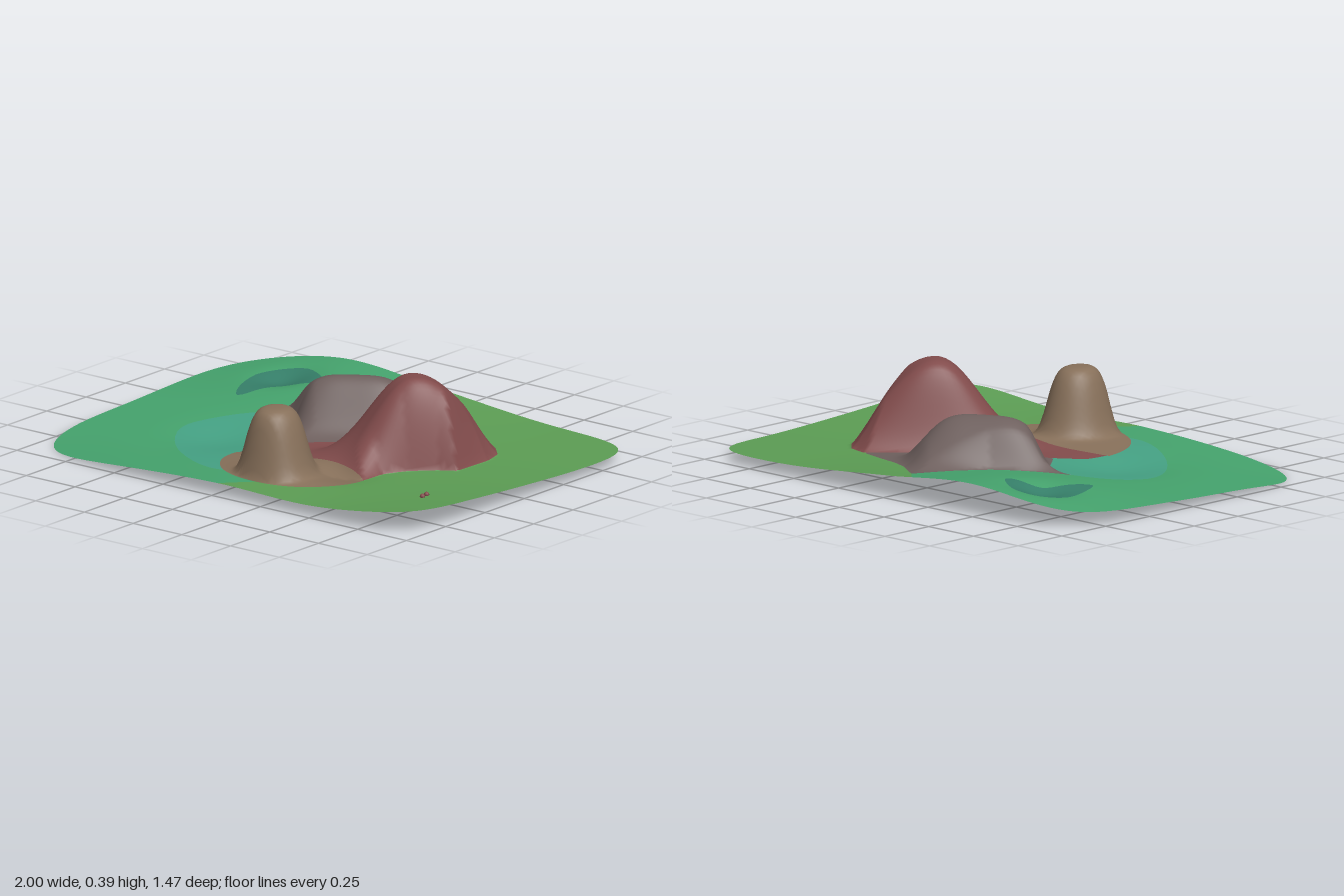
import * as THREE from 'three';
import { mergeVertices } from 'three/addons/utils/BufferGeometryUtils.js';

const mat = (name, color) => {
  const m = new THREE.MeshStandardMaterial({ color, side: THREE.DoubleSide });
  m.name = name;
  return m;
};

// Region tests: each returns a function that is positive inside the region
function polygon(poly) {
  return (x, z) => {
    let best = Infinity, inside = false;
    poly.forEach(([ax, az], i) => {
      const [bx, bz] = poly[(i + 1) % poly.length];
      const dx = bx - ax, dz = bz - az;
      const t = Math.min(1, Math.max(0, ((x - ax) * dx + (z - az) * dz) / (dx * dx + dz * dz)));
      best = Math.min(best, Math.hypot(x - ax - t * dx, z - az - t * dz));
      if ((az > z) !== (bz > z) && x < ax + ((z - az) * dx) / dz) inside = !inside;
    });
    return inside ? best : -best;
  };
}

function smoothOutline(points) {
  const curve = new THREE.CatmullRomCurve3(points.map(([x, z]) => new THREE.Vector3(x, 0, z)), true);
  return polygon(curve.getPoints(36).slice(0, -1).map((p) => [p.x, p.z]));
}

// Outer edge: a rounded rectangle, rounder on one side
function landEdge(x, z) {
  const n = x < 0 ? 5.5 : 9;
  return 1 - (Math.abs(x) ** n + Math.abs(z / 0.737) ** n) ** (1 / n);
}

// Butte foot: half an ellipse closed by a shallow curve
function butteFoot(x, z) {
  const ellipse = 0.3 * (1 - Math.hypot((x - 0.1) / 0.325, (z - 0.32) / 0.3));
  return Math.min(ellipse, z - 0.25 - 0.55 * (x - 0.1) ** 2);
}

const domeFoot = polygon([
  [0.47, -0.38], [0.57, -0.35], [0.63, -0.29], [0.655, -0.2], [0.655, 0], [0.59, 0.04], [0.5, 0.125],
  [0.44, 0.21], [0.42, 0.31], [0.1, 0.4], [-0.22, 0.33], [-0.2, 0.2], [-0.12, 0.1], [0.2, -0.15],
]);
const ridgeFoot = polygon([
  [-0.05, -0.64], [0.12, -0.51], [0.22, -0.46], [0.47, -0.38], [0.2, -0.15], [-0.12, 0.1],
  [-0.25, -0.06], [-0.33, -0.11], [-0.44, -0.12], [-0.2, -0.34], [-0.11, -0.48],
]);
const bayShore = smoothOutline([
  [-0.44, -0.12], [-0.625, 0.13], [-0.45, 0.41], [-0.1, 0.57], [0.1, 0.3], [-0.1, -0.05],
]);
const lakeShore = smoothOutline([
  [-0.76, -0.47], [-0.7, -0.57], [-0.59, -0.6], [-0.43, -0.48], [-0.57, -0.42], [-0.65, -0.22],
]);
const meadowEdge = polygon([
  [-0.17, -0.76], [-0.05, -0.64], [0.05, 0.5], [0.12, 0.62], [0, 0.76], [1.1, 0.76], [1.1, -0.76],
]);

// Broad ground heights on a 5 x 5 net, rows running from back to front
const NET = [
  [0.07, 0.14, 0.10, 0.06, 0.05],
  [0.06, 0.105, 0.08, 0.06, 0.05],
  [0.045, 0.06, 0.06, 0.06, 0.065],
  [0.03, 0.05, 0.057, 0.06, 0.087],
  [-0.01, 0.038, 0.062, 0.058, 0.112],
];

function cubic(p, t) {
  const i = Math.min(3, Math.max(0, Math.floor(t))), f = t - i;
  const b = p[i], c = p[i + 1];
  const a = i > 0 ? p[i - 1] : 2 * b - c, d = i < 3 ? p[i + 2] : 2 * c - b;
  return b + 0.5 * f * (c - a + f * (2 * a - 5 * b + 4 * c - d + f * (3 * (b - c) + d - a)));
}

const bump = (x, z, cx, cz, r) => Math.exp(-((x - cx) ** 2 + (z - cz) ** 2) / (r * r));

// Rounded rise from 0 at a foot line to 1 at the given width inside it
function rise(distance, width) {
  const t = Math.min(1, Math.max(0, distance / width));
  return t * (2 - t);
}

// Height of the land at a point
function height(x, z) {
  let y = cubic(NET.map((row) => cubic(row, (x + 1) * 2)), (z + 0.74) / 0.37);
  // hollows of the water and the plain
  y -= 0.025 * bump(x, z, -0.4, 0.2, 0.2) + 0.035 * bump(x, z, -0.62, -0.48, 0.11);
  y -= 0.02 * bump(x, z, 0.32, 0.3, 0.12);
  // flat-topped butte
  const r = Math.hypot((x - 0.11) / 0.128, (z - 0.475) / 0.14);
  y += rise(butteFoot(x, z), 0.06) * (0.255 * Math.exp(-(r ** 5)) + 0.025 * Math.exp(-((r / 1.35) ** 2)));
  // tall dome, longer towards the back, with a cliff along its outer side
  let u = (x - 0.42) * 0.6 - (z + 0.02) * 0.8, v = (x - 0.42) * 0.8 + (z + 0.02) * 0.6;
  y += rise(domeFoot(x, z), 0.15) * 0.345
    * Math.exp(-(Math.abs(u / (u > 0 ? 0.29 : 0.23)) ** 2.1) - (v / (v > 0 ? 0.28 : 0.2)) ** 4);
  // low ridge, steeper on its front side
  u = (x + 0.05) * 0.85 - (z + 0.22) * 0.53;
  v = (x + 0.05) * 0.53 + (z + 0.22) * 0.85;
  y += rise(ridgeFoot(x, z), 0.1) * 0.2
    * Math.exp(-((u / 0.27) ** 4) - (v / (v > 0 ? 0.12 : 0.18)) ** 2);
  return y;
}

// Split flat cells along a region's border into those inside and those outside
function split(cells, region) {
  const within = [], rest = [];
  for (const cell of cells) {
    const d = cell.map(([x, z]) => region(x, z));
    const a = [], b = [];
    cell.forEach((p, i) => {
      const j = (i + 1) % cell.length, q = cell[j];
      if (d[i] >= 0) a.push(p);
      if (d[i] <= 0) b.push(p);
      if (d[i] * d[j] < 0) {
        const t = d[i] / (d[i] - d[j]);
        const m = [p[0] + t * (q[0] - p[0]), p[1] + t * (q[1] - p[1])];
        a.push(m);
        b.push(m);
      }
    });
    if (a.length > 2) within.push(a);
    if (b.length > 2) rest.push(b);
  }
  return [within, rest];
}

// Raise cells onto the land, with smooth normals shared across borders
function landGeometry(cells) {
  const pos = [], nor = [], n = new THREE.Vector3(), e = 0.004;
  const put = ([x, z]) => {
    pos.push(x, height(x, z), z);
    n.set(height(x - e, z) - height(x + e, z), 2 * e, height(x, z - e) - height(x, z + e)).normalize();
    nor.push(n.x, n.y, n.z);
  };
  for (const c of cells) {
    for (let i = 1; i < c.length - 1; i++) [c[0], c[i], c[i + 1]].forEach(put);
  }
  const g = new THREE.BufferGeometry();
  g.setAttribute('position', new THREE.Float32BufferAttribute(pos, 3));
  g.setAttribute('normal', new THREE.Float32BufferAttribute(nor, 3));
  return mergeVertices(g, 1e-5);
}

export function createModel() {
  const model = new THREE.Group();
  model.name = 'landscape';
  const add = (name, geometry, material) => {
    const mesh = new THREE.Mesh(geometry, material);
    mesh.name = name;
    model.add(mesh);
    return mesh;
  };

  // Fine triangle grid, trimmed to the outer edge
  const NX = 130, NZ = 96;
  const at = (i, j) => [(i / NX) * 2.02 - 1.01, (j / NZ) * 1.5 - 0.75];
  let cells = [];
  for (let i = 0; i < NX; i++) {
    for (let j = 0; j < NZ; j++) {
      cells.push([at(i, j), at(i, j + 1), at(i + 1, j)], [at(i + 1, j), at(i, j + 1), at(i + 1, j + 1)]);
    }
  }
  cells = split(cells, landEdge)[0];

  // Regions cut out one after another, leaving the lowland
  const redRock = mat('red rock', 0x824c4c);
  const regions = [
    ['butte', butteFoot, mat('tan rock', 0x87705a)],
    ['dome', domeFoot, redRock],
    ['ridge', ridgeFoot, mat('grey rock', 0x6e605e)],
    ['bay', bayShore, mat('teal water', 0x45a284)],
    ['lake', lakeShore, mat('dark water', 0x36806a)],
    ['meadow', meadowEdge, mat('leaf green', 0x5c9d54)],
  ];
  for (const [name, region, material] of regions) {
    const [within, rest] = split(cells, region);
    add(name, landGeometry(within), material);
    cells = rest;
  }
  add('lowland', landGeometry(cells), mat('sea green', 0x45a36d));

  // Two tiny boulders on the meadow
  for (const [x, z] of [[0.805, 0.38], [0.812, 0.415]]) {
    const stone = add('boulder', new THREE.SphereGeometry(0.011, 10, 8), redRock);
    stone.position.set(x, height(x, z) + 0.004, z);
  }

  // Rest the lowest point on the ground
  const low = new THREE.Box3().setFromObject(model).min.y;
  for (const part of model.children) part.position.y -= low;
  return model;
}
